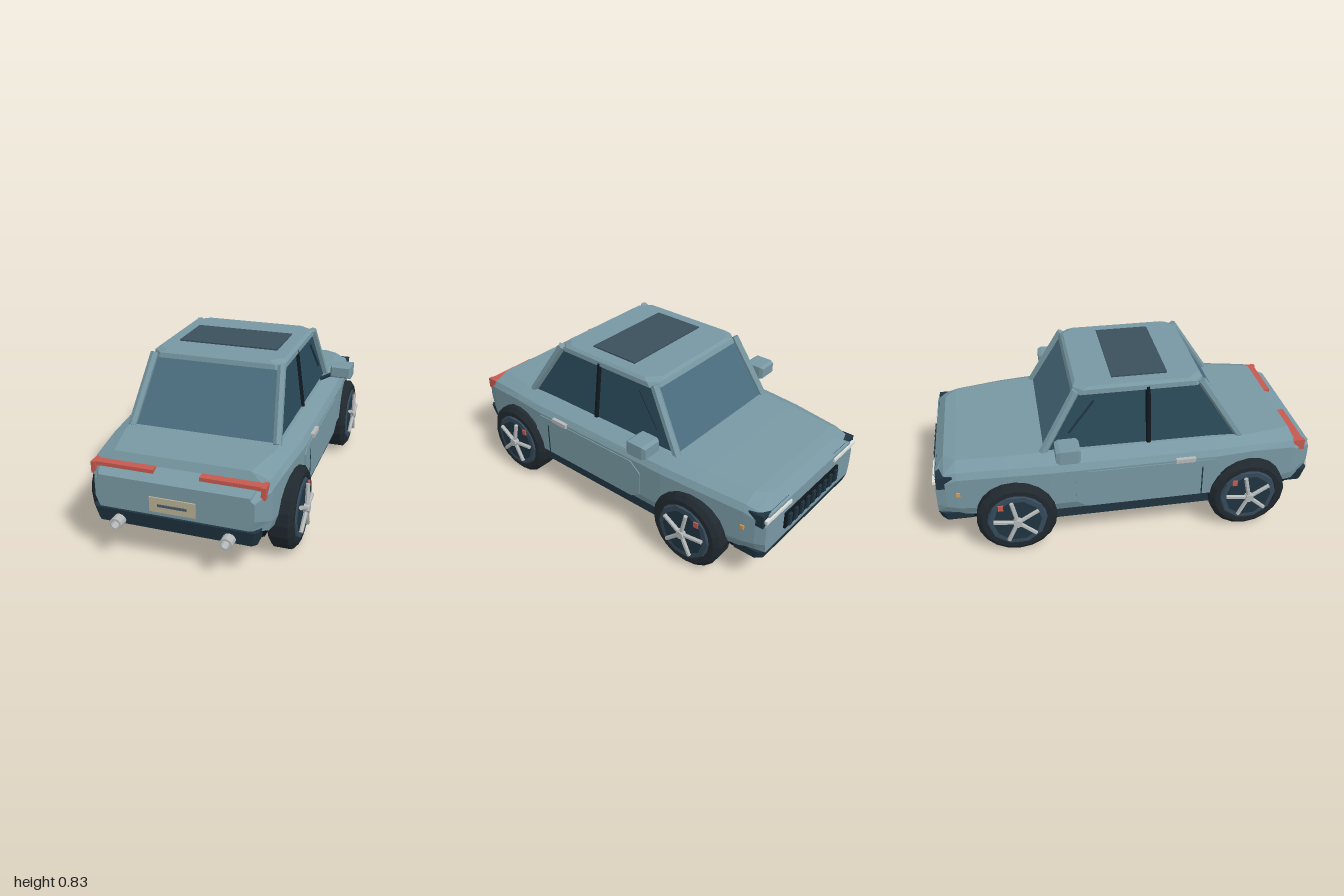
import * as THREE from 'three';

const mat = (color, extra = {}) => new THREE.MeshStandardMaterial({ color, flatShading: true, ...extra });
const M = {
  paint: mat(0x7898a3), dark: mat(0x1f3440), tyre: mat(0x20292f), under: mat(0x10181e),
  glass: mat(0x4a6c7e, { side: THREE.DoubleSide }), sideGlass: mat(0x2a4a5a, { side: THREE.DoubleSide }),
  sunroof: mat(0x3b505c), rim: mat(0x35495a), metal: mat(0xb4b8b8), red: mat(0xc65a50),
  plate: mat(0xb8b094), amber: mat(0xd89a50), grey: mat(0x4a5a66), lamp: mat(0xdfe2dc),
};

// Flat-sided solid through equal-length rings of [x, y, z], capped at both ends
function loft(rings) {
  const tris = [], n = rings[0].length;
  for (let r = 0; r < rings.length - 1; r++) {
    for (let i = 0; i < n; i++) {
      const j = (i + 1) % n, a = rings[r], b = rings[r + 1];
      tris.push([a[i], a[j], b[j]], [a[i], b[j], b[i]]);
    }
  }
  const last = rings[rings.length - 1];
  for (let i = 1; i < n - 1; i++) {
    tris.push([rings[0][0], rings[0][i + 1], rings[0][i]], [last[0], last[i], last[i + 1]]);
  }
  // Signed volume tells whether the faces point outward
  const v = p => new THREE.Vector3(...p);
  const volume = tris.reduce((s, [a, b, c]) => s + v(a).dot(v(b).cross(v(c))), 0);
  if (volume < 0) tris.forEach(t => t.reverse());
  const g = new THREE.BufferGeometry();
  g.setAttribute('position', new THREE.Float32BufferAttribute(tris.flat(2), 3));
  g.computeVertexNormals();
  return g;
}

// Octagonal plan ring at height y
const octagon = (w, z0, z1, c, y) => [
  [w, z0 + c], [w, z1 - c], [w - c, z1], [c - w, z1], [-w, z1 - c], [-w, z0 + c], [c - w, z0], [w - c, z0],
].map(([x, z]) => [x, y, z]);

function add(parent, name, geometry, material) {
  const m = new THREE.Mesh(geometry, material);
  m.name = name;
  parent.add(m);
  return m;
}

// Box given by its limits
function box(parent, name, material, x0, x1, y0, y1, z0, z1) {
  const m = add(parent, name, new THREE.BoxGeometry(Math.abs(x1 - x0), y1 - y0, z1 - z0), material);
  m.position.set((x0 + x1) / 2, (y0 + y1) / 2, (z0 + z1) / 2);
  return m;
}

// Straight bar between two points
function bar(parent, name, material, a, b, r, sides = 6) {
  const p = new THREE.Vector3(...a), q = new THREE.Vector3(...b), d = q.clone().sub(p);
  const m = add(parent, name, new THREE.CylinderGeometry(r, r, d.length(), sides), material);
  m.position.copy(p).add(q).multiplyScalar(0.5);
  m.quaternion.setFromUnitVectors(new THREE.Vector3(0, 1, 0), d.normalize());
  return m;
}

function quad(parent, name, material, a, b, c, d) {
  const g = new THREE.BufferGeometry();
  g.setAttribute('position', new THREE.Float32BufferAttribute([a, b, c, a, c, d].flat(), 3));
  g.computeVertexNormals();
  return add(parent, name, g, material);
}

function makeWheel(s, z) {
  const wheel = new THREE.Group();
  wheel.name = 'wheel';
  wheel.position.set(s * 0.445, 0.2, z);
  // Chamfered tyre, closed on the inner side
  const profile = [[0, -0.05], [0.15, -0.062], [0.175, -0.062], [0.2, -0.042], [0.2, 0.042], [0.175, 0.062], [0.15, 0.062], [0.145, 0.03]];
  const tyre = add(wheel, 'tyre', new THREE.LatheGeometry(profile.map(p => new THREE.Vector2(...p)), 20), M.tyre);
  tyre.rotation.z = -s * Math.PI / 2;
  const disc = (name, r0, r1, x, depth, material, sides) => {
    const m = add(wheel, name, new THREE.CylinderGeometry(r0, r1, depth, sides), material);
    m.rotation.z = -s * Math.PI / 2;
    m.position.x = s * x;
    return m;
  };
  disc('rim', 0.145, 0.155, 0.058, 0.018, M.rim, 10);
  disc('rimFace', 0.12, 0.12, 0.062, 0.016, M.dark, 10);
  disc('hub', 0.022, 0.026, 0.08, 0.034, M.metal, 8);
  for (let i = 0; i < 5; i++) {
    const a = Math.PI / 2 - 0.2 + i * Math.PI * 0.4;
    bar(wheel, 'spoke', M.metal, [s * 0.082, 0, 0],
      [s * 0.078, 0.12 * Math.sin(a), -0.12 * Math.cos(a)], 0.011);
  }
  box(wheel, 'brakeCaliper', M.red, s * 0.06, s * 0.074, 0.075, 0.105, -0.09, -0.065);
  return wheel;
}

// Mirrored details of one side, s = 1 for left
function makeSide(s) {
  const g = new THREE.Group();
  g.name = 'sideDetails';
  g.add(makeWheel(s, 0.594), makeWheel(s, -0.594));
  // Windows and pillars
  quad(g, 'sideWindow', M.sideGlass, [s * 0.37, 0.49, -0.44], [s * 0.37, 0.49, 0.55], [s * 0.328, 0.8, 0.35], [s * 0.328, 0.8, -0.26]);
  bar(g, 'centrePillar', M.under, [s * 0.372, 0.49, 0.09], [s * 0.33, 0.8, 0.09], 0.013);
  bar(g, 'quarterPillar', M.dark, [s * 0.36, 0.59, -0.31], [s * 0.338, 0.75, -0.18], 0.006);
  bar(g, 'rearPillar', M.paint, [s * 0.37, 0.49, 0.565], [s * 0.328, 0.805, 0.36], 0.022);
  bar(g, 'frontPillar', M.paint, [s * 0.37, 0.49, -0.445], [s * 0.328, 0.805, -0.265], 0.022);
  // Door panel with cut corners
  const door = [[0.445, 0.25], [0.41, 0.22], [-0.24, 0.22], [-0.295, 0.255], [-0.295, 0.38], [-0.235, 0.43], [0.41, 0.43], [0.445, 0.4]];
  add(g, 'doorPanel', loft([0.45, 0.48].map(x => door.map(([z, y]) => [s * x, y, z]))), M.paint);
  box(g, 'doorSeam', M.dark, s * 0.47, s * 0.482, 0.22, 0.39, 0.347, 0.353);
  box(g, 'doorHandle', M.metal, s * 0.46, s * 0.488, 0.43, 0.452, 0.21, 0.31);
  box(g, 'sill', M.dark, s * 0.36, s * 0.452, 0.145, 0.215, -0.42, 0.42);
  // Wing mirror
  bar(g, 'mirrorArm', M.dark, [s * 0.375, 0.515, -0.3], [s * 0.47, 0.56, -0.33], 0.012);
  const shell = [[0.027, 0.05, -0.39], [0.035, 0.057, -0.37], [0.035, 0.057, -0.285], [0.026, 0.048, -0.272]];
  add(g, 'mirrorShell', loft(shell.map(([h, w, z]) =>
    [[w, h], [-w, h], [-w, -h], [w, -h]].map(([x, y]) => [s * (0.493 + x), 0.574 + y, z]))), M.paint);
  // Tail lamps, exhaust and reflector
  box(g, 'tailLamp', M.red, s * 0.11, s * 0.417, 0.427, 0.447, 0.86, 0.902);
  box(g, 'tailLampCorner', M.red, s * 0.395, s * 0.417, 0.39, 0.447, 0.845, 0.91);
  const pipe = [[0.02, 0], [0.02, 0.09], [0.03, 0.09], [0.03, 0]].map(p => new THREE.Vector2(...p));
  const exhaust = add(g, 'exhaustPipe', new THREE.LatheGeometry(pipe, 12), mat(0xb4b8b8, { side: THREE.DoubleSide }));
  exhaust.rotation.x = Math.PI / 2;
  exhaust.position.set(s * 0.265, 0.193, 0.908);
  // Headlamp
  box(g, 'headlampHousing', M.dark, s * 0.21, s * 0.42, 0.37, 0.435, -0.97, -0.89);
  box(g, 'headlampStrip', M.lamp, s * 0.2, s * 0.41, 0.395, 0.412, -0.987, -0.96);
  box(g, 'sideMarker', M.amber, s * 0.41, s * 0.437, 0.325, 0.347, -0.88, -0.86);
  return g;
}

export function createModel() {
  const car = new THREE.Group();
  car.name = 'car';

  // Body stations: z, bottom half-width, bottom, half-width, shoulder, top half-width, top
  const stations = [
    [0.95, 0.36, 0.25, 0.38, 0.385, 0.36, 0.41], [0.86, 0.42, 0.215, 0.43, 0.41, 0.385, 0.445],
    [0.842, 0.42, 0.21, 0.435, 0.42, 0.33, 0.485], [0.62, 0.45, 0.2, 0.46, 0.44, 0.38, 0.492],
    [0.42, 0.455, 0.2, 0.475, 0.44, 0.385, 0.5], [-0.42, 0.455, 0.2, 0.475, 0.44, 0.385, 0.506],
    [-0.62, 0.45, 0.2, 0.46, 0.435, 0.375, 0.5], [-0.87, 0.41, 0.2, 0.43, 0.42, 0.35, 0.487],
    [-0.93, 0.4, 0.21, 0.42, 0.4, 0.28, 0.478], [-0.978, 0.39, 0.215, 0.4, 0.365, 0.37, 0.425],
  ];
  add(car, 'body', loft(stations.map(([z, wb, yb, w, ys, wt, yt]) => {
    const half = [[wb, yb], [w, yb + 0.05], [w, ys], [w - 0.018, (ys + yt) / 2], [wt, yt]];
    return [...half, ...half.map(([x, y]) => [-x, y]).reverse()].map(([x, y]) => [x, y, z]);
  })), M.paint);

  // Underbody and bumpers
  add(car, 'underbody', loft([octagon(0.39, -0.92, 0.9, 0.08, 0.155), octagon(0.42, -0.94, 0.92, 0.06, 0.23)]), M.under);
  add(car, 'rearBumper', loft([octagon(0.385, 0.8, 0.94, 0.02, 0.17), octagon(0.4, 0.8, 0.955, 0.02, 0.245)]), M.dark);
  add(car, 'frontBumper', loft([octagon(0.41, -0.965, -0.79, 0.03, 0.17), octagon(0.415, -0.98, -0.79, 0.03, 0.215)]), M.dark);

  // Cabin: roof, sunroof and screens
  add(car, 'roof', loft([octagon(0.342, -0.285, 0.375, 0.04, 0.788), octagon(0.34, -0.275, 0.37, 0.045, 0.812),
    octagon(0.325, -0.26, 0.355, 0.06, 0.825)]), M.paint);
  box(car, 'sunroof', M.sunroof, -0.26, 0.26, 0.81, 0.832, -0.08, 0.2);
  for (const [name, z0, z1] of [['rearScreen', 0.56, 0.355], ['windscreen', -0.445, -0.265]]) {
    const k = Math.sign(z0);
    quad(car, name, M.glass, [-k * 0.37, 0.49, z0], [k * 0.37, 0.49, z0], [k * 0.328, 0.8, z1], [-k * 0.328, 0.8, z1]);
  }

  // Number plate without lettering
  box(car, 'plate', M.plate, -0.11, 0.11, 0.27, 0.342, 0.94, 0.957);
  box(car, 'plateStrip', M.grey, -0.07, 0.07, 0.3, 0.312, 0.95, 0.961);

  // Grille with upright slats
  box(car, 'grille', M.under, -0.245, 0.245, 0.265, 0.355, -0.989, -0.96);
  for (let i = 0; i < 9; i++) {
    const x = -0.216 + i * 0.054;
    box(car, 'grilleSlat', M.dark, x - 0.011, x + 0.011, 0.278, 0.345, -1, -0.98);
  }

  car.add(makeSide(1), makeSide(-1));
  return car;
}
